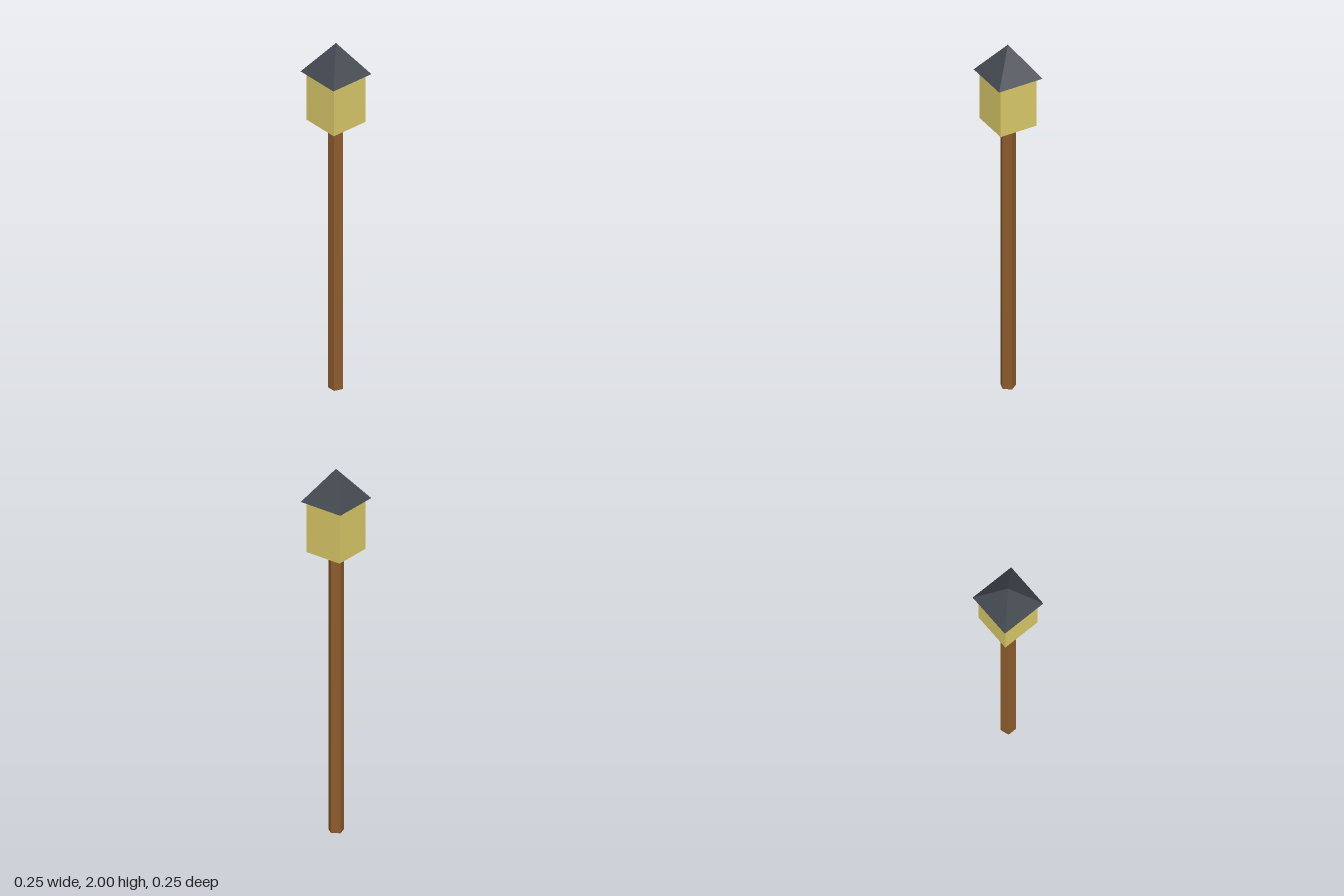
import * as THREE from 'three';

const material = (name, color) => {
  const m = new THREE.MeshStandardMaterial({ color });
  m.name = name;
  return m;
};

export function createModel() {
  const wood = material('brownWood', 0x8b5a2b);
  const glow = material('yellowGlass', 0xd6c667);
  const slate = material('darkSlate', 0x434850);

  const group = new THREE.Group();
  group.name = 'lampPost';

  const add = (name, geometry, mat, y) => {
    const flat = geometry.index ? geometry.toNonIndexed() : geometry;
    flat.computeVertexNormals(); // faceted, low-poly shading
    const mesh = new THREE.Mesh(flat, mat);
    mesh.name = name;
    mesh.position.y = y;
    group.add(mesh);
  };

  const boxBottom = 1.548, roofBase = 1.827, top = 2;

  // Five-sided post with a flat side to the front
  const post = new THREE.CylinderGeometry(0.04, 0.04, boxBottom, 5);
  post.rotateY(Math.PI);
  add('post', post, wood, boxBottom / 2);

  // Square lantern box
  const boxHeight = roofBase - boxBottom;
  add('lantern', new THREE.BoxGeometry(0.207, boxHeight, 0.207), glow, boxBottom + boxHeight / 2);

  // Four-sided pyramid roof, overhanging the lantern
  const roofHeight = top - roofBase;
  const roof = new THREE.ConeGeometry(0.124 * Math.SQRT2, roofHeight, 4);
  roof.rotateY(Math.PI / 4);
  add('roof', roof, slate, roofBase + roofHeight / 2);

  return group;
}
